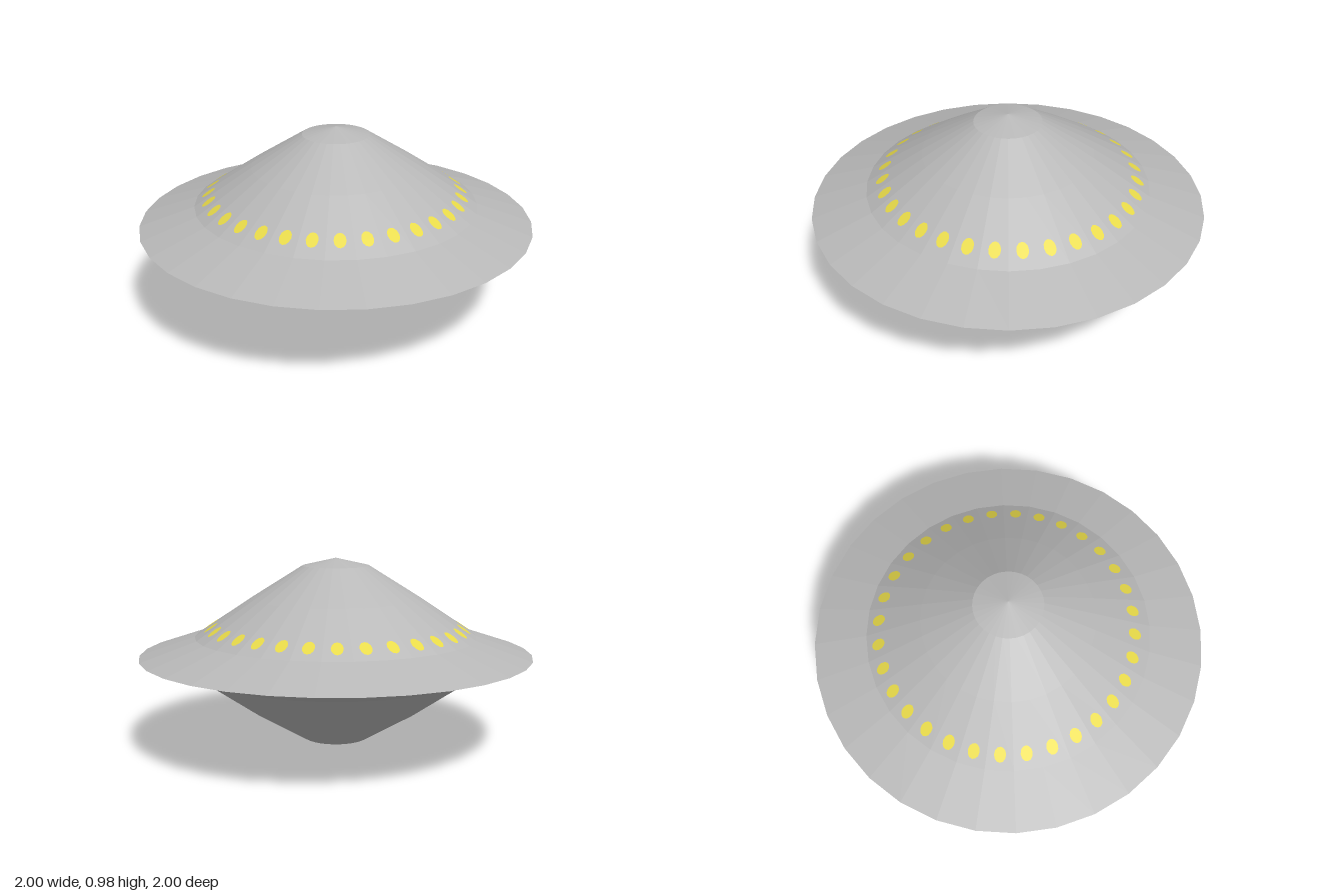
import * as THREE from 'three';

const SIDES = 32;
// Dome facet that carries the windows: [radius, height] at its top and bottom
const DOME_TOP = [0.43, 0.775];
const DOME_BASE = [0.72, 0.583];

// Faceted surface of revolution with flat normals
function facetedLathe(profile) {
  const points = profile.map(([r, y]) => new THREE.Vector2(r, y));
  const geometry = new THREE.LatheGeometry(points, SIDES).toNonIndexed();
  geometry.computeVertexNormals();
  return geometry;
}

export function createModel() {
  const model = new THREE.Group();
  model.name = 'saucer';

  const hullGrey = new THREE.MeshStandardMaterial({ color: 0xb8b8b8 });
  hullGrey.name = 'hull grey';
  const windowYellow = new THREE.MeshStandardMaterial({ color: 0xf0e24c });
  windowYellow.name = 'window yellow';

  // Upper and lower halves meet at the sharp rim
  const halves = {
    lowerHull: [[0, 0], [0.17, 0.043], [0.43, 0.2], [0.72, 0.403], [1, 0.49]],
    upperHull: [[1, 0.49], DOME_BASE, DOME_TOP, [0.17, 0.938], [0, 0.977]],
  };
  for (const [name, profile] of Object.entries(halves)) {
    const half = new THREE.Mesh(facetedLathe(profile), hullGrey);
    half.name = name;
    model.add(half);
  }

  // One oval window lying on each dome facet
  const windows = new THREE.Group();
  windows.name = 'windows';
  model.add(windows);
  const oval = new THREE.CircleGeometry(1, 12).scale(0.029, 0.041, 1);
  const apothem = Math.cos(Math.PI / SIDES);
  const run = (DOME_BASE[0] - DOME_TOP[0]) * apothem;
  const drop = DOME_TOP[1] - DOME_BASE[1];
  const tilt = Math.atan2(run, drop);

  for (let i = 0; i < SIDES; i++) {
    const angle = ((i + 0.5) / SIDES) * Math.PI * 2;
    // The ring sits slightly higher on one side of the dome
    const distance = 0.643 + 0.011 * Math.cos(angle + Math.PI * 0.75);
    const height = DOME_BASE[1] + ((DOME_BASE[0] * apothem - distance) / run) * drop;

    const pivot = new THREE.Group();
    pivot.name = 'windowPivot';
    pivot.rotation.y = angle;
    const pane = new THREE.Mesh(oval, windowYellow);
    pane.name = 'window';
    pane.position.set(0, height, distance);
    pane.rotation.x = -tilt;
    pane.translateZ(0.003);
    pivot.add(pane);
    windows.add(pivot);
  }

  return model;
}
